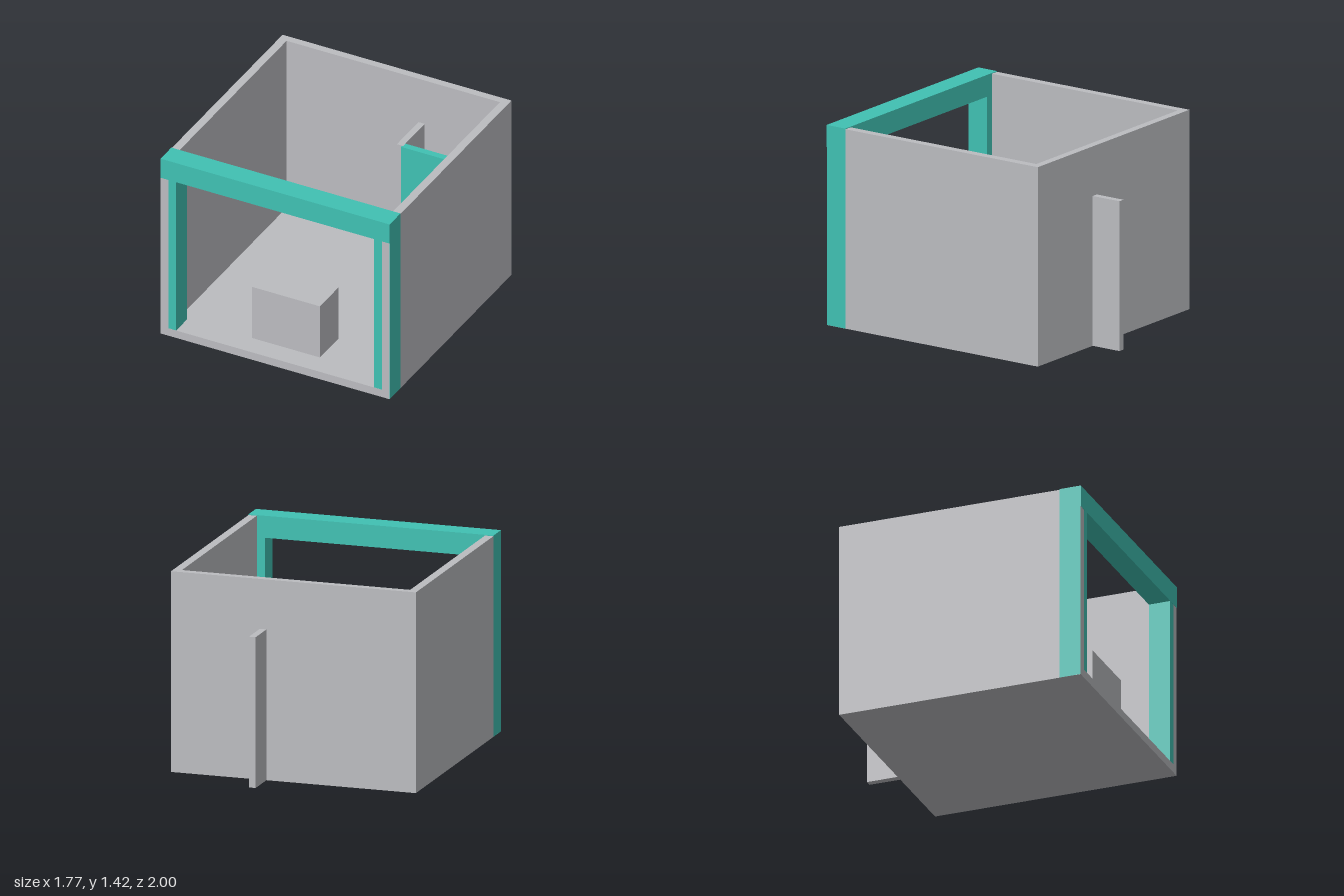
import * as THREE from 'three';

export function createModel() {
  const group = new THREE.Group();
  group.name = 'openRoom';

  const grey = new THREE.MeshStandardMaterial({ color: 0xbbbcc0 });
  grey.name = 'plaster grey';
  const teal = new THREE.MeshStandardMaterial({ color: 0x40c1b3 });
  teal.name = 'teal';

  // Box given by its extents along x, y and z
  function block(name, material, [x0, x1], [y0, y1], [z0, z1]) {
    const mesh = new THREE.Mesh(new THREE.BoxGeometry(x1 - x0, y1 - y0, z1 - z0), material);
    mesh.position.set((x0 + x1) / 2, (y0 + y1) / 2, (z0 + z1) / 2);
    mesh.name = name;
    group.add(mesh);
  }

  const W = 0.884, inner = 0.824, top = 1.415, floorTop = 0.06;
  const back = -0.775, backInner = -0.72, front = 1;

  // Shell: floor, back wall and side walls, open at the front and top
  block('floor', grey, [-W, W], [0, floorTop], [back, front]);
  block('backWall', grey, [-W, W], [floorTop, top], [back, backInner]);
  block('leftWall', grey, [inner, W], [floorTop, top], [backInner, front]);
  block('rightWall', grey, [-W, -inner], [floorTop, top], [backInner, front]);

  // Front frame: posts sit through the side walls, just proud on the outside
  const edge = W + 0.001, frameBack = 0.843;
  block('leftPost', teal, [0.765, edge], [0.001, 1.265], [frameBack, front - 0.001]);
  block('rightPost', teal, [-edge, -0.765], [0.001, 1.265], [frameBack, front - 0.001]);
  block('lintel', teal, [-edge, edge], [1.265, 1.42], [frameBack, front + 0.001]);

  // Corner partition: a fin running out through the back wall and a teal panel
  block('partitionFin', grey, [0.195, 0.243], [0, 1.063], [-1, -0.405]);
  block('partitionPanel', teal, [0.233, inner], [0.01, 1.062], [-0.44, -0.39]);

  // Counter standing in the opening
  block('counter', grey, [-0.264, 0.261], [0.01, 0.475], [0.57, 0.84]);

  return group;
}
